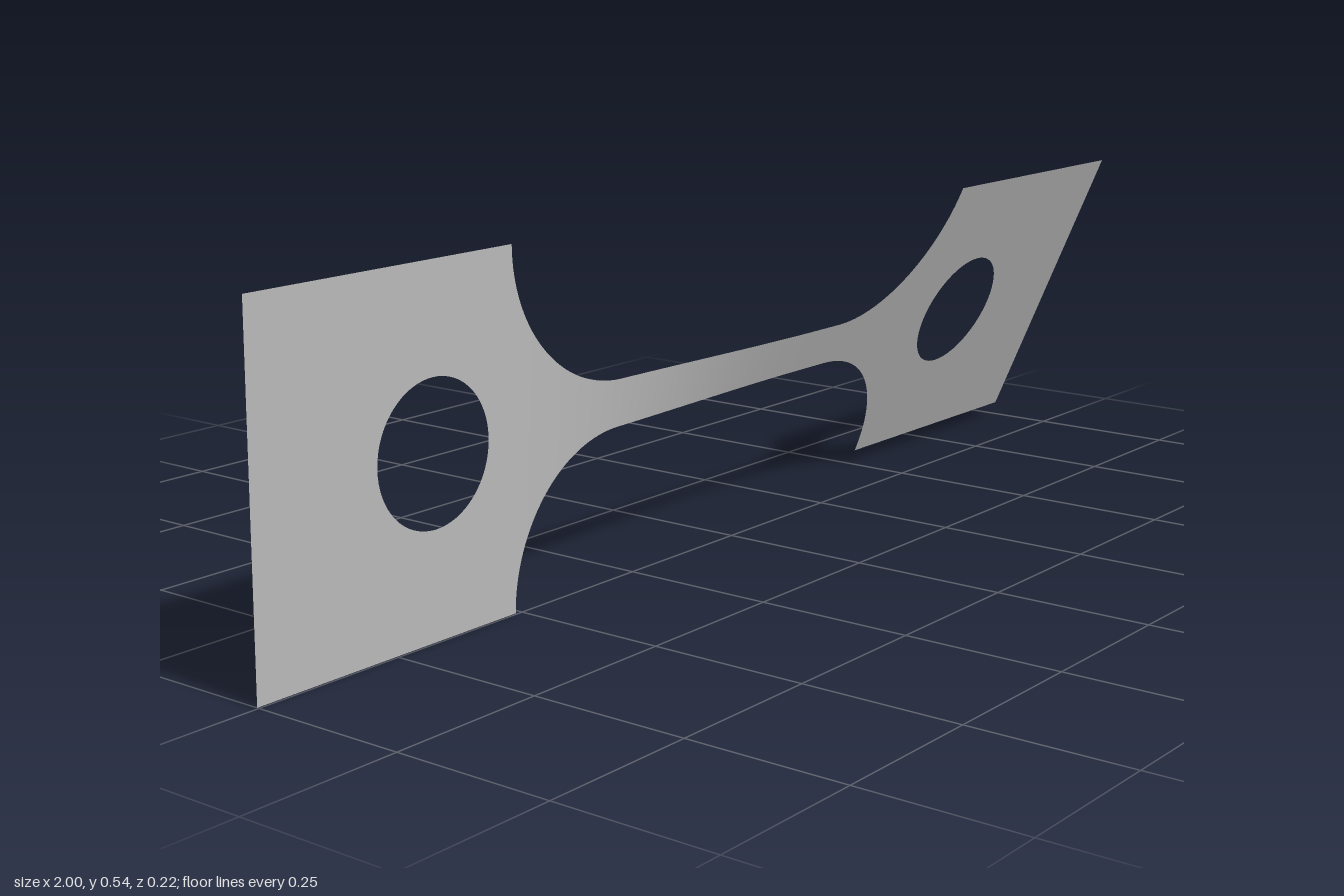
import * as THREE from 'three';

const HALF = 0.271;        // half height of the end plates
const NECK = 0.038;        // half height of the neck
const EDGE = 0.51;         // where the plates end and the fillets start
const R = HALF - NECK;     // fillet radius
const START = 0.012, END = 0.415; // twist at each end, in radians

// Twist about the long axis, growing along the neck
const twist = (x) => START + (END - START) * THREE.MathUtils.smoothstep(x, -EDGE, 0.2);

// Half height of the waisted middle
function halfHeight(x) {
  const d = Math.max(0, Math.abs(x) - (EDGE - R));
  return HALF - Math.sqrt(Math.max(0, R * R - d * d));
}

// Flat end plate with a round hole
function makePlate(side, material) {
  const shape = new THREE.Shape();
  const x0 = side < 0 ? -1 : EDGE;
  const x1 = side < 0 ? -EDGE : 1;
  shape.moveTo(x0, -HALF);
  shape.lineTo(x1, -HALF);
  shape.lineTo(x1, HALF);
  shape.lineTo(x0, HALF);
  shape.closePath();
  const hole = new THREE.Path();
  hole.absarc(side * 0.67, 0, 0.108, 0, Math.PI * 2, true);
  shape.holes.push(hole);
  const plate = new THREE.Mesh(new THREE.ShapeGeometry(shape, 32), material);
  plate.rotation.x = twist(side * EDGE);
  return plate;
}

// Twisted, filleted strip joining the plates
function makeNeck(material) {
  const geometry = new THREE.PlaneGeometry(2, 2, 120, 6);
  const p = geometry.attributes.position;
  for (let i = 0; i < p.count; i++) {
    const x = EDGE * Math.sin(p.getX(i) * Math.PI / 2); // finer steps near the plates
    const y = p.getY(i) * halfHeight(x);
    const a = twist(x);
    p.setXYZ(i, x, y * Math.cos(a), y * Math.sin(a));
  }
  geometry.computeVertexNormals();
  return new THREE.Mesh(geometry, material);
}

export function createModel() {
  const metal = new THREE.MeshStandardMaterial({ color: 0xb8b8b8, side: THREE.DoubleSide });
  metal.name = 'grey metal';

  const sheet = new THREE.Group();
  sheet.name = 'twistedSheet';
  const rightPlate = makePlate(-1, metal);
  rightPlate.name = 'rightPlate';
  const leftPlate = makePlate(1, metal);
  leftPlate.name = 'leftPlate';
  const neck = makeNeck(metal);
  neck.name = 'neck';
  sheet.add(rightPlate, neck, leftPlate);
  sheet.position.y = HALF;

  const model = new THREE.Group();
  model.name = 'twistedTestStrip';
  model.add(sheet);
  return model;
}
